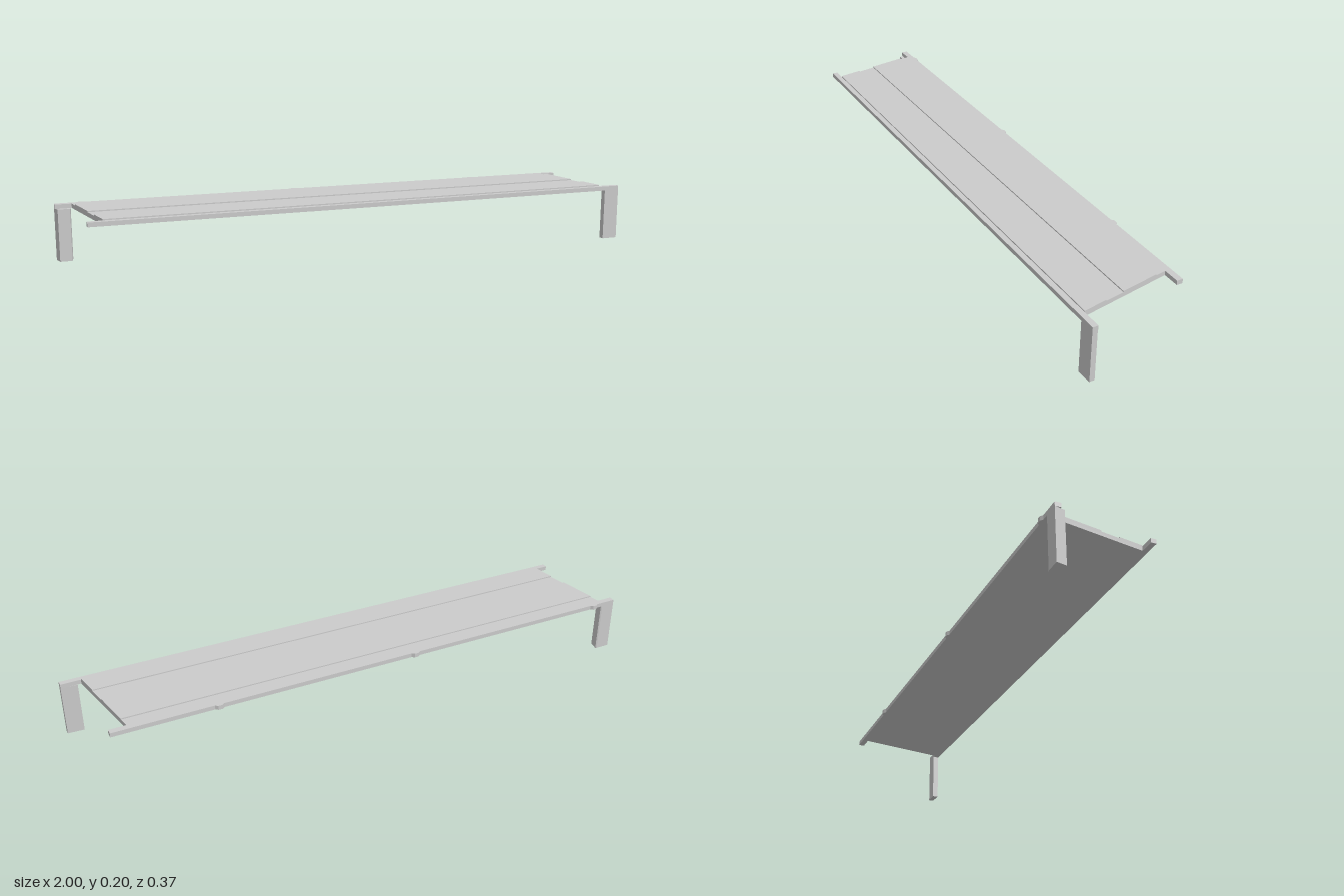
import * as THREE from 'three';

const material = new THREE.MeshStandardMaterial({ color: 0xcccccc, flatShading: true });

// Upright prism from a plan outline of [x, z] points, between heights y0 and y1
function prism(name, outline, y0, y1) {
  const shape = new THREE.Shape(outline.map(([x, z]) => new THREE.Vector2(x, -z)));
  const geometry = new THREE.ExtrudeGeometry(shape, { depth: y1 - y0, bevelEnabled: false });
  geometry.rotateX(-Math.PI / 2);
  geometry.translate(0, y0, 0);
  const mesh = new THREE.Mesh(geometry, material);
  mesh.name = name;
  return mesh;
}

// x offset of the skewed deck ends at depth z
const skew = (z) => 0.18 * z;

// Strip of deck between two depths, with both ends cut on the skew
function strip(name, zBack, zFront, y0, y1) {
  const left = 0.9, right = -0.915;
  return prism(name, [
    [right + skew(zBack), zBack], [right + skew(zFront), zFront],
    [left + skew(zFront), zFront], [left + skew(zBack), zBack],
  ], y0, y1);
}

const rect = (x0, x1, z0, z1) => [[x0, z0], [x0, z1], [x1, z1], [x1, z0]];

export function createModel() {
  const model = new THREE.Group();
  model.name = 'raisedPlatform';
  const bottom = 0.181, top = 0.196, raised = 0.2;

  // Deck slab and the two slightly raised planks on it
  model.add(
    strip('deck', -0.157, 0.166, bottom, top),
    strip('frontPlank', 0.082, 0.166, top, raised),
    strip('backPlank', -0.12, 0.015, top, raised),
  );

  // Long edge rails, offset from each other along the skew
  model.add(
    prism('frontRail', rect(-0.935, 1, 0.166, 0.185), bottom, top),
    prism('backRail', rect(-1, 0.93, -0.178, -0.157), bottom, top),
  );

  // Small pointed tabs along the back rail
  for (const x of [-0.91, -0.15, 0.57]) {
    model.add(prism('railTab', [
      [x - 0.016, -0.178], [x + 0.016, -0.178], [x + 0.007, -0.185], [x - 0.007, -0.185],
    ], bottom, top));
  }

  // Legs at opposite corners, with slightly slanted sides
  model.add(
    prism('frontLeg', [[0.943, 0.164], [0.943, 0.185], [1, 0.185], [1, 0.167]], 0, bottom),
    prism('backLeg', [[-1, -0.178], [-0.992, -0.143], [-0.951, -0.143], [-0.945, -0.176], [-0.95, -0.178]], 0, bottom),
  );
  return model;
}
